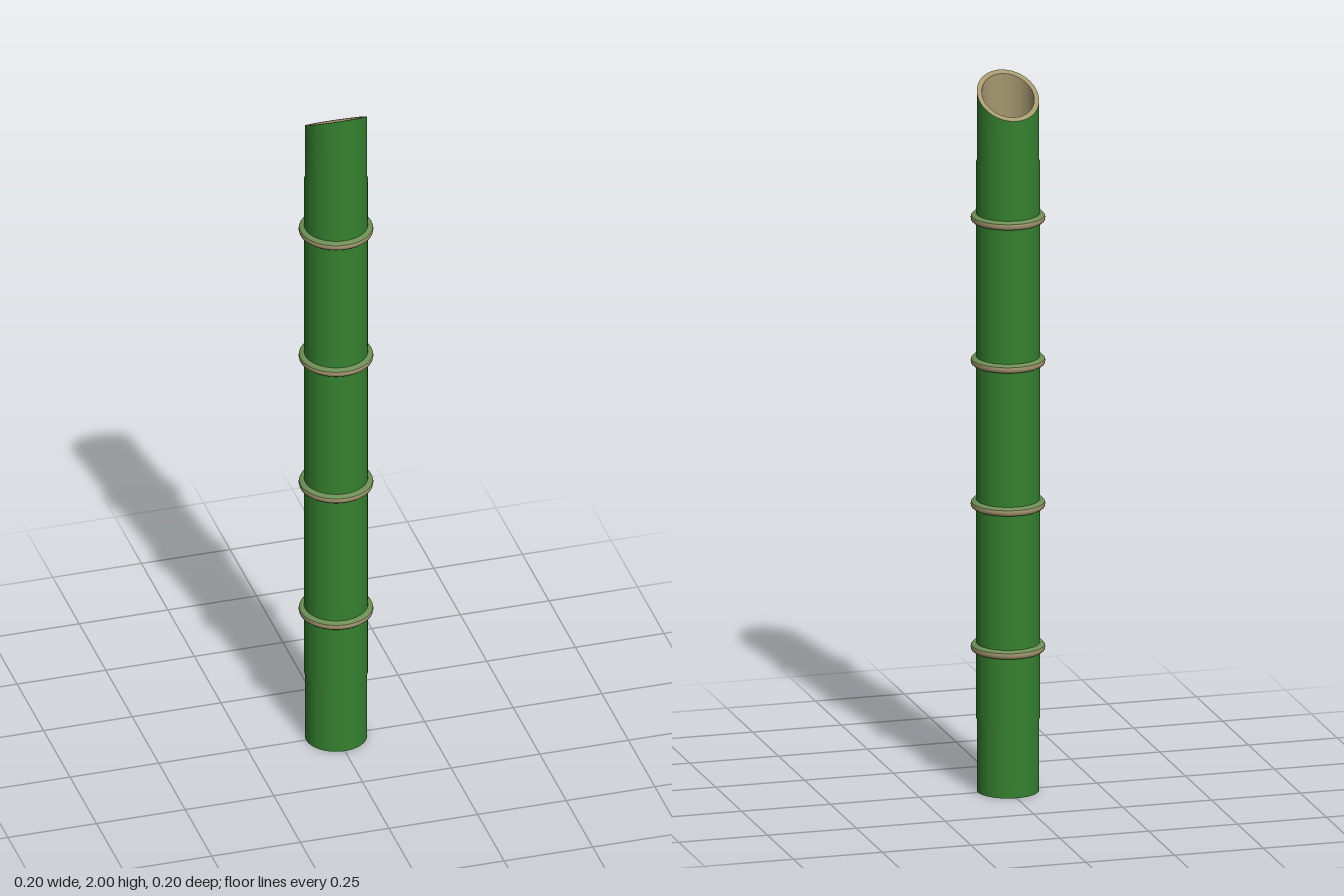
import * as THREE from 'three';

const SEGMENTS = 64;
const OUTER = 0.0842, SWELL = 0.0862, INNER = 0.071;
const CUT_Y = 1.95, CUT_SLOPE = 0.05 / OUTER;

const green = new THREE.MeshStandardMaterial({ color: 0x35812f });
green.name = 'stalk green';
const tan = new THREE.MeshStandardMaterial({ color: 0xa5976f });
tan.name = 'wood tan';
const sage = new THREE.MeshStandardMaterial({ color: 0x6e8f56 });
sage.name = 'node sage';

// Revolve a profile of [radius, height] pairs
function revolve(name, profile, material) {
  const points = profile.map(([r, y]) => new THREE.Vector2(r, y));
  const mesh = new THREE.Mesh(new THREE.LatheGeometry(points, SEGMENTS), material);
  mesh.name = name;
  return mesh;
}

// Tilt everything at the cut height so the front stands higher than the back
function slantTop(mesh, fixNormals = false) {
  const p = mesh.geometry.attributes.position;
  for (let i = 0; i < p.count; i++) {
    if (p.getY(i) > CUT_Y - 0.001) p.setY(i, CUT_Y + p.getZ(i) * CUT_SLOPE);
  }
  if (fixNormals) mesh.geometry.computeVertexNormals();
  return mesh;
}

export function createModel() {
  const group = new THREE.Group();
  group.name = 'bambooStalk';

  // Hollow stalk, very slightly thicker between its two ends
  group.add(slantTop(revolve('stalkWall', [
    [OUTER, 0], [OUTER, 0.2], [SWELL, 0.205], [SWELL, 1.765], [OUTER, 1.77], [OUTER, CUT_Y],
  ], green)));
  group.add(slantTop(revolve('innerWall', [[INNER, CUT_Y], [INNER, 0]], tan)));

  // Slanted cut at the top and flat rim at the base
  group.add(slantTop(revolve('cutRim', [[OUTER, CUT_Y], [INNER, CUT_Y]], tan), true));
  group.add(revolve('baseRim', [[INNER, 0], [OUTER, 0]], tan));

  // Raised node rings: tan below and around the edge, sage on top
  for (let i = 1; i <= 4; i++) {
    const node = new THREE.Group();
    node.name = 'nodeRing' + i;
    node.position.y = i * 0.4015 + 0.003;
    node.add(revolve('nodeEdge', [
      [SWELL - 0.002, -0.012], [0.095, -0.011], [0.0995, -0.007], [0.101, 0], [0.0998, 0.006],
    ], tan));
    node.add(revolve('nodeTop', [
      [0.0998, 0.006], [0.095, 0.011], [SWELL - 0.002, 0.012],
    ], sage));
    group.add(node);
  }
  return group;
}
